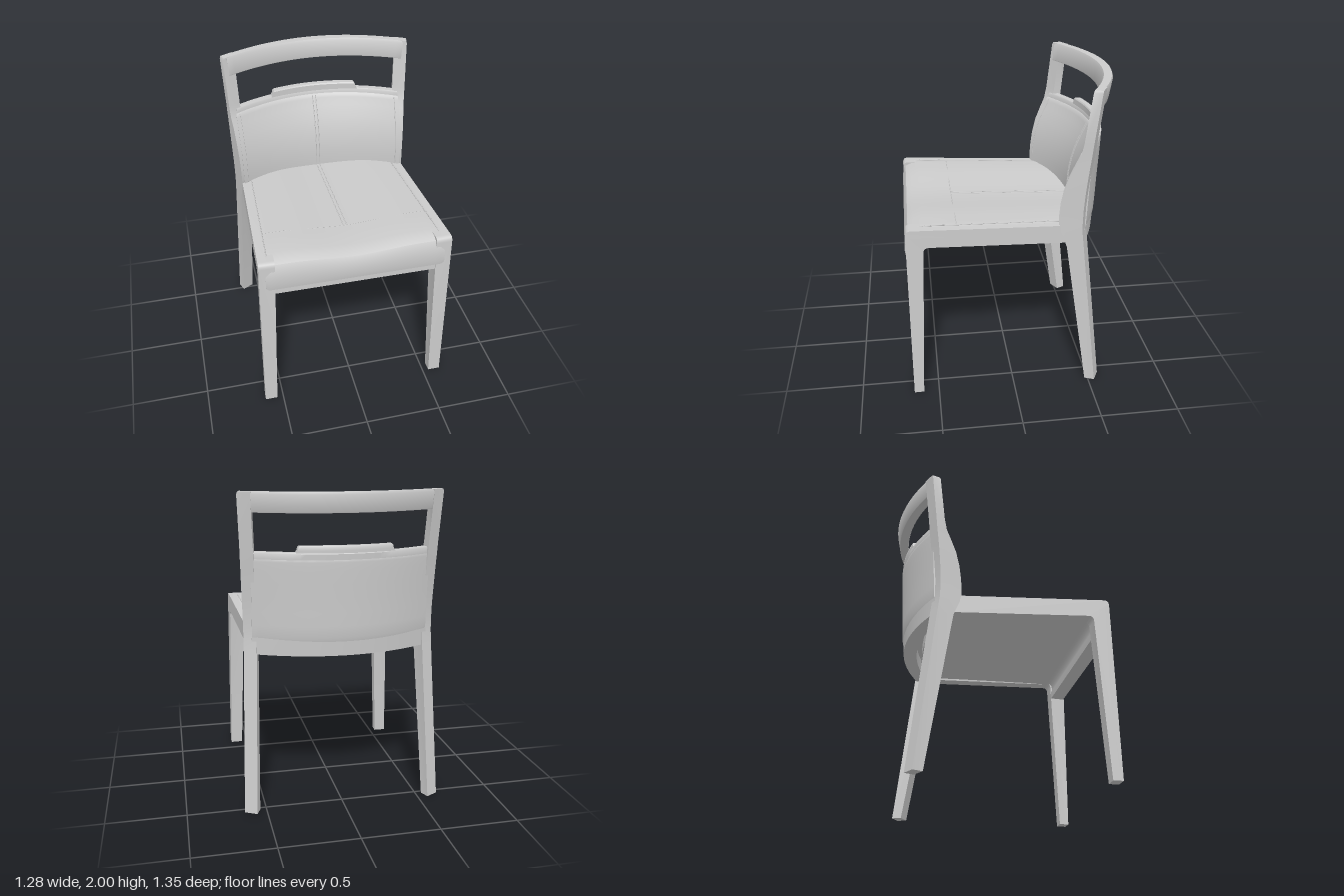
import * as THREE from 'three';
import { toCreasedNormals } from 'three/addons/utils/BufferGeometryUtils.js';

const material = new THREE.MeshStandardMaterial({ color: 0xcccccc });

// Turns a closed geometry's faces outward and creases its hard edges
function finish(geometry) {
  const g = geometry.index ? geometry.toNonIndexed() : geometry;
  g.deleteAttribute('uv');
  g.deleteAttribute('normal');
  const p = g.attributes.position;
  const a = new THREE.Vector3(), b = new THREE.Vector3(), c = new THREE.Vector3();
  let volume = 0;
  for (let i = 0; i < p.count; i += 3) {
    a.fromBufferAttribute(p, i);
    b.fromBufferAttribute(p, i + 1);
    c.fromBufferAttribute(p, i + 2);
    volume += a.dot(b.cross(c));
  }
  if (volume < 0) {
    for (let i = 0; i < p.count; i += 3) {
      b.fromBufferAttribute(p, i + 1);
      c.fromBufferAttribute(p, i + 2);
      p.setXYZ(i + 1, c.x, c.y, c.z);
      p.setXYZ(i + 2, b.x, b.y, b.z);
    }
  }
  g.computeVertexNormals();
  return toCreasedNormals(g, 0.6);
}

// Skins closed rings; each cap joins point i to point n-1-i
function loft(rings) {
  const n = rings[0].length, index = [];
  const quad = (a, b, c, d) => index.push(a, b, c, a, c, d);
  for (let r = 0; r < rings.length - 1; r++) {
    for (let i = 0; i < n; i++) {
      const j = (i + 1) % n;
      quad(r * n + i, r * n + j, (r + 1) * n + j, (r + 1) * n + i);
    }
  }
  const last = (rings.length - 1) * n;
  for (let i = 0; i < n / 2 - 1; i++) {
    quad(i, n - 1 - i, n - 2 - i, i + 1);
    quad(last + i, last + i + 1, last + n - 2 - i, last + n - 1 - i);
  }
  const g = new THREE.BufferGeometry();
  g.setAttribute('position', new THREE.Float32BufferAttribute(rings.flat(2), 3));
  g.setIndex(index);
  return finish(g);
}

// Curved slab from levels [y, half width, front z, front sweep, back z, back sweep]
function curvedSlab(levels, steps = 28) {
  return loft(levels.map(([y, hw, front, fs, back, bs]) => {
    const f = [], b = [];
    for (let i = 0; i <= steps; i++) {
      const x = hw * (2 * i / steps - 1), k = (x / 0.6) ** 2;
      f.push([x, y, front + fs * k]);
      b.unshift([x, y, back + bs * k]);
    }
    return [...f, ...b];
  }));
}

// Rear leg and back post in one sweep: y, outer front x/z, outer back x/z
function rearPost(side) {
  const levels = [
    [0, 0.615, -0.48, 0.64, -0.54], [1.0, 0.583, -0.328, 0.607, -0.43],
    [1.1, 0.575, -0.29, 0.605, -0.418], [1.16, 0.572, -0.28, 0.605, -0.416],
    [1.25, 0.573, -0.284, 0.606, -0.417], [1.35, 0.577, -0.297, 0.609, -0.423],
    [1.45, 0.584, -0.322, 0.612, -0.432], [1.54, 0.592, -0.359, 0.614, -0.442],
    [1.6, 0.6, -0.386, 0.616, -0.449], [1.68, 0.605, -0.402, 0.618, -0.457],
    [1.985, 0.615, -0.438, 0.63, -0.49], [2.0, 0.609, -0.444, 0.624, -0.494],
  ];
  return loft(levels.map(([y, xf, zf, xb, zb]) => [
    [xf, zf], [xb, zb], [xb - 0.075, zb - 0.04], [xf - 0.075, zf - 0.042],
  ].map(([x, z]) => [side * x, y, z])));
}

// Front leg and side rail, cut from one side outline and tapered in x
function sideFrame(side) {
  const s = new THREE.Shape();
  s.moveTo(0.6, 0);
  s.lineTo(0.662, 0);
  s.lineTo(0.662, 1.145);
  s.quadraticCurveTo(0.662, 1.18, 0.63, 1.18);
  s.lineTo(-0.38, 1.137);
  s.lineTo(-0.38, 1.02);
  s.lineTo(-0.33, 1.022);
  s.lineTo(0.525, 1.06);
  s.quadraticCurveTo(0.555, 1.06, 0.557, 1.03);
  const g = new THREE.ExtrudeGeometry(s, { depth: 1, bevelEnabled: false, curveSegments: 6 });
  const p = g.attributes.position;
  for (let i = 0; i < p.count; i++) {
    const z = p.getX(i), y = p.getY(i), t = p.getZ(i);
    const outer = 0.605 - 0.036 * (0.66 - z) + 0.016 * Math.max(0, 1 - y);
    const width = y < 0.5 ? 0.08 : (z > 0.54 ? 0.1 : 0.075);
    p.setXYZ(i, side * (outer - width * t), y, z);
  }
  return finish(g);
}

// Upholstered seat: gently dished top that rolls over the front edge
const dip = x => Math.abs(x) < 0.42 ? 0.0125 * (1 + Math.cos(Math.PI * x / 0.42)) : 0;
const seatTop = (x, z) => 1.157 + 0.041 * z - dip(x);
const seatHalf = z => 0.5375 + 0.0415 * z;

function seatCushion() {
  const over = [[-0.46, 0], [-0.2, 0], [0.1, 0], [0.4, 0], [0.55, 0], [0.61, 0.007],
    [0.645, 0.024], [0.661, 0.055], [0.668, 0.11], [0.67, 0.16], [0.664, 0.2]];
  const under = [[0.57, 0.98], [0.57, 0.99], [0.57, 1.0], [0.57, 1.02], [0.565, 1.04],
    [0.55, 1.055], [0.53, 1.06], [0.4, 1.06], [0.1, 1.05], [-0.2, 1.04], [-0.46, 1.03]];
  const rings = [];
  for (let i = 0; i <= 36; i++) {
    const s = 2 * i / 36 - 1;
    const edge = Math.abs(s) === 1 ? 0.004 : 0;
    const back = z => z < -0.4 ? z + 0.06 * s * s : z;
    const top = over.map(([z, drop]) => {
      const x = s * seatHalf(z), fade = Math.max(0, 1 - drop / 0.2);
      const y = 1.157 + 0.041 * Math.min(z, 0.55) - drop - dip(x) * fade - edge * fade;
      return [x, y, back(z) - (z > 0.6 ? edge : 0)];
    });
    rings.push([...top, ...under.map(([z, y]) => [s * seatHalf(z), y, back(z)])]);
  }
  return loft(rings);
}

// Backrest pad levels; the front follows the swelling of the posts
const padLevels = [
  [1.1, 0.555, -0.45, 0.2, -0.594, 0.18], [1.13, 0.555, -0.449, 0.2, -0.602, 0.18],
  [1.2, 0.555, -0.449, 0.2, -0.606, 0.18], [1.28, 0.555, -0.455, 0.2, -0.609, 0.18],
  [1.37, 0.555, -0.472, 0.2, -0.613, 0.18], [1.46, 0.558, -0.5, 0.198, -0.618, 0.18],
  [1.54, 0.56, -0.535, 0.195, -0.622, 0.18], [1.59, 0.562, -0.558, 0.193, -0.624, 0.18],
  [1.61, 0.562, -0.566, 0.192, -0.624, 0.18], [1.617, 0.56, -0.575, 0.192, -0.62, 0.18],
];

// Fine raised seam along a list of points
function seam(points) {
  const curve = new THREE.CatmullRomCurve3(points.map(p => new THREE.Vector3(...p)));
  return new THREE.TubeGeometry(curve, 30, 0.0035, 5);
}

export function createModel() {
  const model = new THREE.Group();
  const add = (name, geometry) => {
    const mesh = new THREE.Mesh(geometry, material);
    mesh.name = name;
    model.add(mesh);
    return mesh;
  };

  for (const side of [1, -1]) {
    const label = side > 0 ? 'left' : 'right';
    add(label + 'RearPost', rearPost(side));
    add(label + 'SideFrame', sideFrame(side));
    // Seams along the seat border, the backrest border and the middle
    add(label + 'SeatSeam', seam([0.655, 0.6, 0.3, 0, -0.3].map(z =>
      [side * (seatHalf(z) - 0.018), seatTop(0.5, Math.min(z, 0.55)) - (z > 0.65 ? 0.035 : z > 0.55 ? 0.006 : 0), z])));
    add(label + 'BackSeam', seam(padLevels.slice(1, 9).map(([y, hw, z, k]) =>
      [side * (hw - 0.025), y, z + k * ((hw - 0.025) / 0.6) ** 2])));
    add(label + 'SeatCentreSeam', seam([0.35, 0.1, -0.2, -0.45].map(z =>
      [side * 0.011, seatTop(0, z), z])));
    add(label + 'BackCentreSeam', seam(padLevels.slice(1, 9).map(([y, , z]) =>
      [side * 0.011, y, z])));
  }

  // Seat with its cross seam and the front rail under it
  add('seatCushion', seatCushion());
  add('seatCrossSeam', seam([-0.53, -0.4, -0.2, 0, 0.2, 0.4, 0.53].map(x => [x, seatTop(x, 0.35) - 0.002, 0.35])));
  add('frontRail', new THREE.BoxGeometry(1.06, 0.05, 0.095)).position.set(0, 0.965, 0.6095);

  // Backrest: lower rail, pad, rim and raised grip
  add('lowerBackRail', curvedSlab([
    [1.012, 0.56, -0.5, 0.18, -0.588, 0.17], [1.12, 0.56, -0.5, 0.18, -0.596, 0.175],
  ]));
  add('backrestPad', curvedSlab(padLevels));
  add('backrestRim', curvedSlab([
    [1.605, 0.56, -0.575, 0.19, -0.624, 0.18], [1.64, 0.56, -0.577, 0.19, -0.626, 0.18],
    [1.648, 0.558, -0.583, 0.19, -0.621, 0.18],
  ]));
  add('backrestGrip', curvedSlab([
    [1.64, 0.305, -0.577, 0.18, -0.623, 0.18], [1.66, 0.292, -0.577, 0.18, -0.623, 0.18],
    [1.68, 0.287, -0.577, 0.18, -0.623, 0.18], [1.688, 0.28, -0.583, 0.18, -0.618, 0.18],
  ]));

  // Top rail, leaning slightly back
  add('topRail', curvedSlab([
    [1.88, 0.58, -0.596, 0.168, -0.655, 0.17], [1.885, 0.58, -0.594, 0.168, -0.658, 0.17],
    [1.985, 0.59, -0.61, 0.168, -0.676, 0.172], [2.0, 0.585, -0.618, 0.168, -0.67, 0.172],
  ]));
  return model;
}
